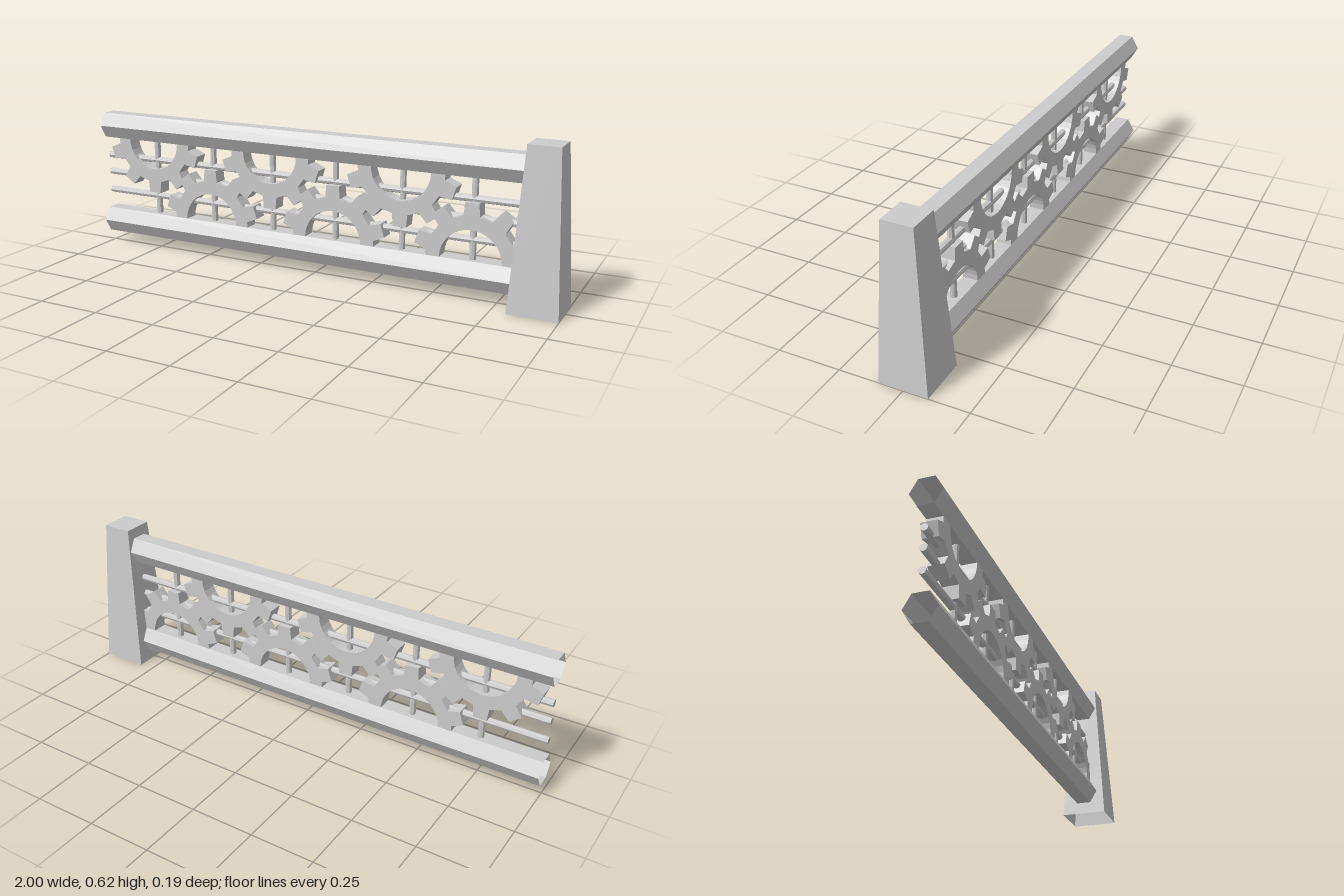
import * as THREE from 'three';

const material = new THREE.MeshStandardMaterial({
  color: 0xcccccc, flatShading: true, side: THREE.DoubleSide,
});

const LEFT_END = -1, POST_X = 0.905;
const LOW_Y = 0.102, HIGH_Y = 0.52;   // rail axes
const GEAR_LOW = 0.153, GEAR_HIGH = 0.469; // rail faces the half gears sit on

function addMesh(group, name, geometry, x = 0, y = 0, z = 0) {
  const mesh = new THREE.Mesh(geometry, material);
  mesh.name = name;
  mesh.position.set(x, y, z);
  group.add(mesh);
  return mesh;
}

// Straight bar along x from the free end to the middle of the post
function addBar(group, name, y, radius, sides, open) {
  const length = POST_X - LEFT_END;
  const g = new THREE.CylinderGeometry(radius, radius, length, sides, 1, open);
  g.rotateY(Math.PI / 2); // corners to front and back
  g.rotateZ(Math.PI / 2);
  if (open) g.rotateX(Math.PI / 2);
  // put a corner of the section exactly at +z
  const p = g.attributes.position;
  const a = Math.atan2(p.getY(0), p.getZ(0));
  g.rotateX(a);
  addMesh(group, name, g, (LEFT_END + POST_X) / 2, y, 0);
}

// Half gear ring, teeth upwards, feet slightly sunk into the rail
function halfGear() {
  const root = 0.175, tip = 0.223, hole = 0.12, sink = 0.02, depth = 0.06;
  const pitch = Math.PI / 5;
  const s = new THREE.Shape();
  s.moveTo(root, -sink);
  s.lineTo(root, 0);
  const at = (r, a) => s.lineTo(r * Math.cos(a), r * Math.sin(a));
  for (let i = 0; i < 5; i++) {
    const a = (i + 0.5) * pitch;
    at(root, a - 0.18);
    at(tip, a - 0.12);
    at(tip, a + 0.12);
    at(root, a + 0.18);
  }
  s.lineTo(-root, 0);
  s.lineTo(-root, -sink);
  s.lineTo(-hole, -sink);
  for (let i = 0; i <= 16; i++) at(hole, Math.PI * (1 - i / 16));
  s.lineTo(hole, -sink);
  s.closePath();
  const g = new THREE.ExtrudeGeometry(s, { depth, bevelEnabled: false });
  g.translate(0, 0, -depth / 2);
  return g;
}

export function createModel() {
  const model = new THREE.Group();
  model.name = 'gearFence';

  // Tapered square post, open underneath
  const h = 0.615;
  const post = new THREE.CylinderGeometry(0.06 * Math.SQRT2, 0.095 * Math.SQRT2, h, 4, 1, true);
  post.rotateY(Math.PI / 4);
  addMesh(model, 'post', post, POST_X, h / 2, 0);
  const cap = new THREE.PlaneGeometry(0.12, 0.12);
  cap.rotateX(-Math.PI / 2);
  addMesh(model, 'postTop', cap, POST_X, h, 0);

  // Hollow hexagonal rails
  addBar(model, 'bottomRail', LOW_Y, 0.06, 6, true);
  addBar(model, 'topRail', HIGH_Y, 0.06, 6, true);

  // Thin horizontal rods
  for (const y of [0.23, 0.311, 0.385]) addBar(model, 'horizontalRod', y, 0.014, 8, false);

  // Upright rods, each with a half gear, alternately hanging and standing
  const gear = halfGear();
  const rod = new THREE.CylinderGeometry(0.013, 0.013, GEAR_HIGH - GEAR_LOW + 0.03, 8);
  for (let i = 0; i < 6; i++) {
    const x = -0.75 + i * 0.28;
    const hanging = i % 2 === 0;
    addMesh(model, 'uprightRod', rod, x, (GEAR_LOW + GEAR_HIGH) / 2, 0);
    const mesh = addMesh(model, hanging ? 'upperGear' : 'lowerGear', gear, x, hanging ? GEAR_HIGH : GEAR_LOW, 0);
    if (hanging) mesh.rotation.z = Math.PI;
  }
  return model;
}
